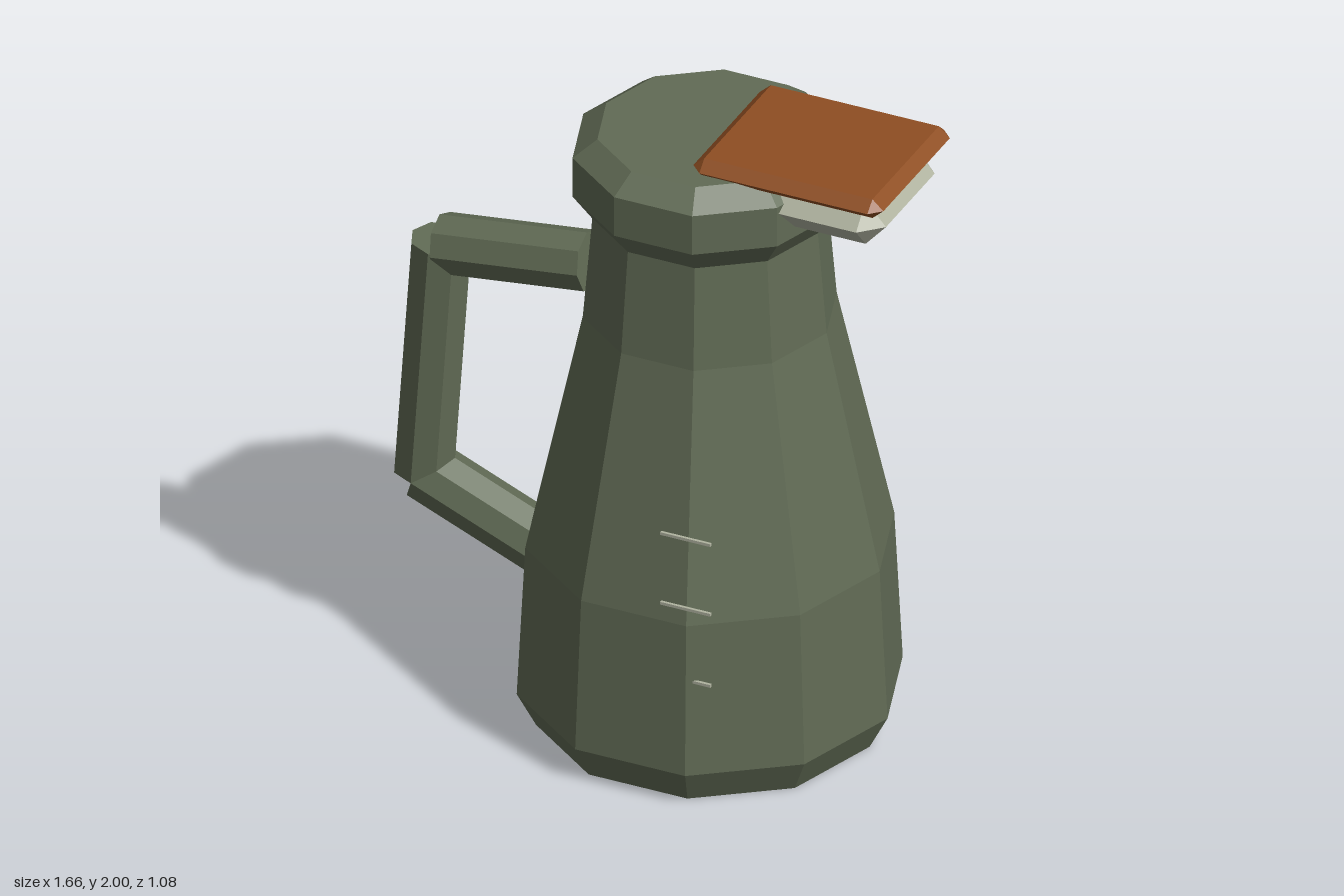
import * as THREE from 'three';
import { ConvexGeometry } from 'three/addons/geometries/ConvexGeometry.js';

const flat = (name, color) => {
  const m = new THREE.MeshStandardMaterial({ color, flatShading: true });
  m.name = name;
  return m;
};

// Box whose sides come to a ridge at mid height, with clipped corners
function ridgedBox(hx, hy, hz, bevel) {
  const pts = [];
  for (const sx of [-1, 1]) for (const sz of [-1, 1]) {
    const ix = sx * (hx - bevel), iz = sz * (hz - bevel);
    pts.push(new THREE.Vector3(sx * hx, 0, iz), new THREE.Vector3(ix, 0, sz * hz));
    for (const sy of [-1, 1]) pts.push(new THREE.Vector3(ix, sy * hy, iz));
  }
  return new ConvexGeometry(pts);
}

export function createModel() {
  const model = new THREE.Group();
  const green = flat('olive green', 0x616b55);
  const brown = flat('rust brown', 0x8f4e22);
  const pale = flat('pale grey', 0xb0b3a0);

  const add = (name, geometry, material, x = 0, y = 0, z = 0) => {
    const mesh = new THREE.Mesh(geometry, material);
    mesh.name = name;
    mesh.position.set(x, y, z);
    model.add(mesh);
    return mesh;
  };

  // Ten-sided body and collar, a corner pointing along x
  const turned = (profile) => new THREE.LatheGeometry(
    profile.map(([r, y]) => new THREE.Vector2(r, y)), 10, Math.PI / 2);
  const axisX = 0.17;
  add('body', turned([[0, 0], [0.51, 0], [0.567, 0.11], [0.542, 0.6],
    [0.373, 1.36], [0.345, 1.69], [0, 1.69]]), green, axisX);
  add('collar', turned([[0, 1.69], [0.345, 1.69], [0.403, 1.77], [0.403, 1.9],
    [0.33, 1.955], [0, 1.955]]), green, axisX);

  // Spout and the lid plate over it
  add('spout', ridgedBox(0.255, 0.073, 0.23, 0.065), pale, 0.555, 1.877);
  add('lid', ridgedBox(0.303, 0.0315, 0.26, 0.035), brown, 0.527, 1.9685);

  // Handle of three eight-sided bars
  const bar = (name, x0, y0, x1, y1) => {
    const dx = x1 - x0, dy = y1 - y0;
    const mesh = add(name, new THREE.CylinderGeometry(0.093, 0.093, Math.hypot(dx, dy), 8),
      green, (x0 + x1) / 2, (y0 + y1) / 2);
    mesh.rotation.z = Math.atan2(-dx, dy);
  };
  bar('handleTop', -0.21, 1.41, -0.68, 1.35);
  bar('handleGrip', -0.685, 1.36, -0.74, 0.573);
  bar('handleBottom', -0.74, 0.573, -0.335, 0.405);

  // Level marks on the front
  for (const y of [0.89, 0.655, 0.415]) {
    add('levelMark', new THREE.BoxGeometry(0.16, 0.009, 0.009), pale, 0.333, y, 0.508);
  }
  return model;
}
